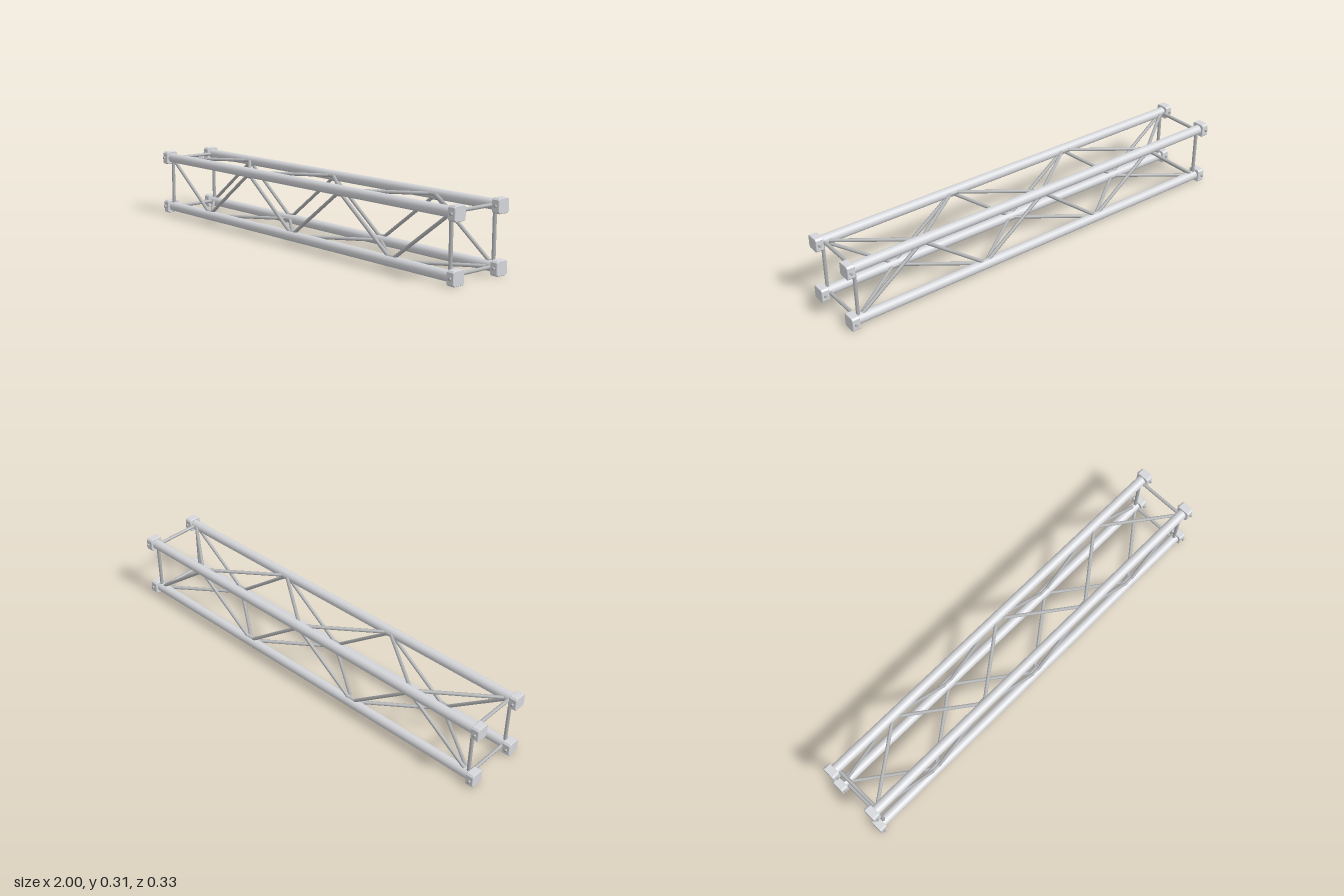
import * as THREE from 'three';

const aluminium = new THREE.MeshStandardMaterial({ color: 0xd5d6da });
aluminium.name = 'light aluminium';
const steel = new THREE.MeshStandardMaterial({ color: 0xb4b5b7 });
steel.name = 'grey steel';

const MID = 0.156;   // height of the truss axis
const HALF = 0.125;  // axis to chord centre
const SEAT = 0.106;  // axis to brace end, on the chord surface
const STEP = 0.317;  // distance between brace nodes

// Round bar between two points
function bar(name, a, b, radius, sides, material) {
  const dir = new THREE.Vector3().subVectors(b, a);
  const mesh = new THREE.Mesh(new THREE.CylinderGeometry(radius, radius, dir.length(), sides), material);
  mesh.position.addVectors(a, b).multiplyScalar(0.5);
  mesh.quaternion.setFromUnitVectors(new THREE.Vector3(0, 1, 0), dir.normalize());
  mesh.name = name;
  return mesh;
}

// End block: square with small cut corners and a fine bevel, thickness along x
function blockGeometry() {
  const bevel = 0.002, r = 0.0312 - bevel, c = r - 0.006, depth = 0.036 - 2 * bevel;
  const shape = new THREE.Shape([
    [r, -c], [r, c], [c, r], [-c, r], [-r, c], [-r, -c], [-c, -r], [c, -r],
  ].map(([x, y]) => new THREE.Vector2(x, y)));
  const geo = new THREE.ExtrudeGeometry(shape, {
    depth, bevelEnabled: true, bevelSize: bevel, bevelThickness: bevel, bevelSegments: 1,
  });
  return geo.translate(0, 0, -depth / 2).rotateY(Math.PI / 2);
}

export function createModel() {
  const truss = new THREE.Group();
  truss.name = 'boxTruss';
  const V = (x, y, z) => new THREE.Vector3(x, y, z);
  const block = blockGeometry();

  // Main chords with end blocks and cross pins
  for (const sy of [-1, 1]) for (const sz of [-1, 1]) {
    const y = MID + sy * HALF, z = sz * HALF;
    truss.add(bar('chord', V(-0.97, y, z), V(0.97, y, z), 0.0228, 24, aluminium));
    for (const sx of [-1, 1]) {
      const end = new THREE.Mesh(block, aluminium);
      end.position.set(sx * 0.982, y, z);
      end.name = 'endBlock';
      truss.add(end);
      truss.add(bar('pin', V(sx * 0.985, y, z - 0.04), V(sx * 0.985, y, z + 0.04), 0.006, 12, steel));
    }
  }

  // Four lattice sides, each turned a quarter about the long axis
  for (let k = 0; k < 4; k++) {
    const side = new THREE.Group();
    side.name = 'latticeSide';
    side.position.y = MID;
    side.rotation.x = k * Math.PI / 2;
    const flip = k % 2 ? -1 : 1;

    // Straight struts at both ends
    for (const sx of [-1, 1]) {
      side.add(bar('endStrut', V(sx * 0.955, -SEAT, HALF), V(sx * 0.955, SEAT, HALF), 0.0082, 8, steel));
    }

    // Zigzag bracing with short flats where it touches the chords
    for (let i = 0; i < 6; i++) {
      const x = (i - 3) * STEP, s = (i % 2 ? -1 : 1) * flip;
      side.add(bar('brace', V(x + 0.017, s * SEAT, HALF), V(x + STEP - 0.017, -s * SEAT, HALF), 0.008, 8, steel));
      if (i > 0) {
        side.add(bar('braceBend', V(x - 0.019, s * SEAT, HALF), V(x + 0.019, s * SEAT, HALF), 0.008, 8, steel));
      }
    }
    truss.add(side);
  }
  return truss;
}
